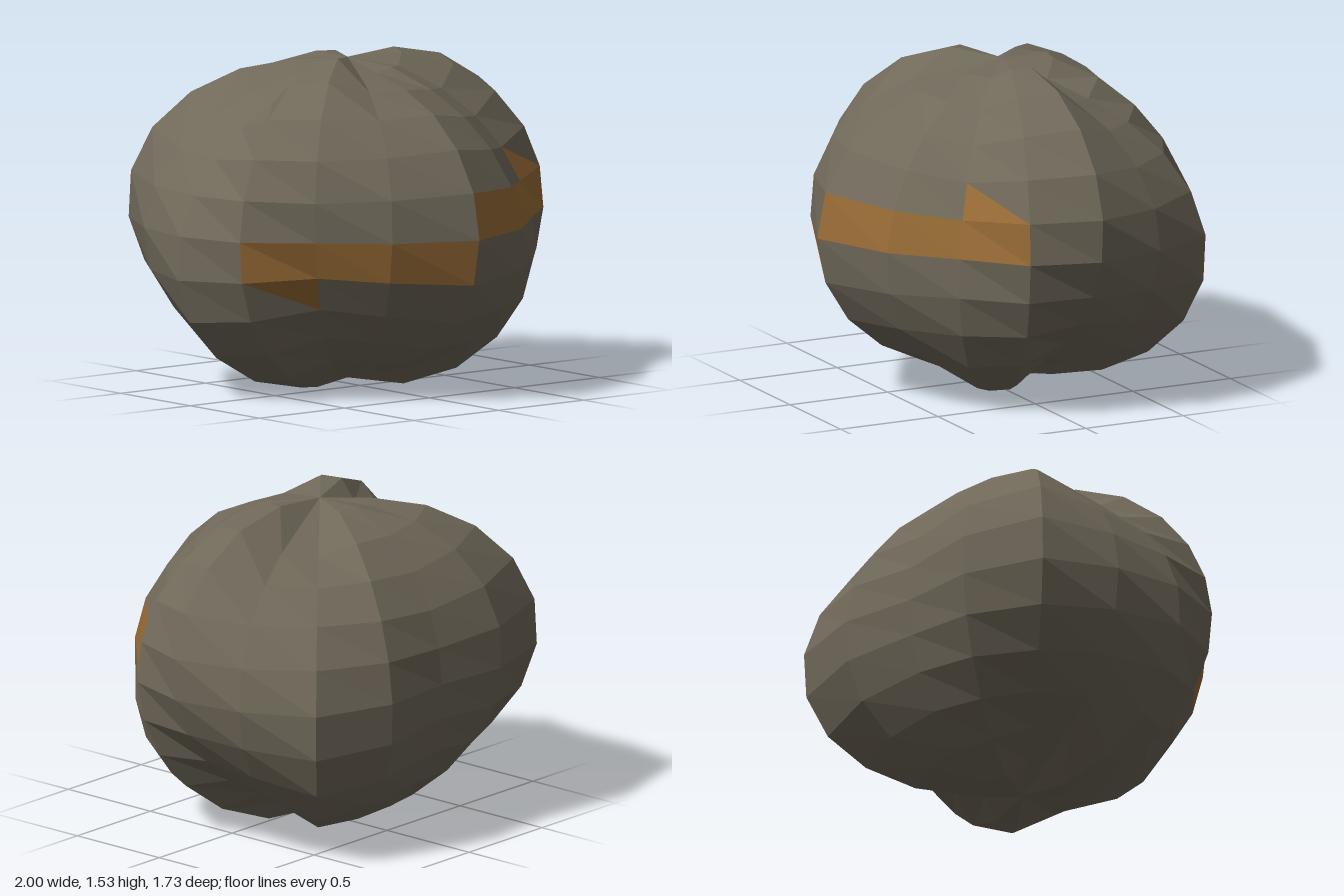
import * as THREE from 'three';

const COLUMNS = 16, ROWS = 12;

// Lumpy radius: three-lobed and five-lobed waves twisting opposite ways with latitude.
function lumpRadius(theta, lat) {
  const fade = Math.min(1, 3 * Math.cos(lat)); // lobes die out at the poles
  const wave = 0.07 * Math.cos(3 * theta + 2 * lat) + 0.05 * Math.cos(5 * theta - lat);
  return 0.985 + fade * wave;
}

// Low-poly sphere pushed in and out by the lump rule, then squashed.
function lumpySphere() {
  const geo = new THREE.SphereGeometry(1, COLUMNS, ROWS);
  const pos = geo.attributes.position;
  const v = new THREE.Vector3();
  for (let i = 0; i < pos.count; i++) {
    v.fromBufferAttribute(pos, i);
    const r = lumpRadius(Math.atan2(v.x, v.z), Math.asin(THREE.MathUtils.clamp(v.y, -1, 1)));
    pos.setXYZ(i, v.x * r, 0.77 + 0.75 * v.y * r, -0.09 + 0.86 * v.z * r);
  }
  return geo;
}

// Triangle number of one half of a grid cell (the cap row has one triangle per column).
const triangle = (row, column, half) => COLUMNS + 2 * COLUMNS * (row - 1) + 2 * column + half;

// Faceted mesh made of the chosen triangles of a geometry.
function facets(source, keep, material, name) {
  const geo = source.clone();
  geo.setIndex(Array.from(source.index.array).filter((_, i) => keep(Math.floor(i / 3))));
  const flat = geo.toNonIndexed();
  flat.computeVertexNormals();
  const mesh = new THREE.Mesh(flat, material);
  mesh.name = name;
  return mesh;
}

export function createModel() {
  const stone = new THREE.MeshStandardMaterial({ color: 0x70695a });
  stone.name = 'stone';
  const ochre = new THREE.MeshStandardMaterial({ color: 0x966a35 });
  ochre.name = 'ochre';

  // Ochre bands: three cells each side of the front, with a pointed tip at the outer end.
  const leftBand = new Set([triangle(4, 6, 1)]);
  const rightBand = new Set([triangle(7, 1, 0)]);
  for (let i = 0; i < 3; i++) {
    for (const half of [0, 1]) {
      leftBand.add(triangle(5, 4 + i, half));
      rightBand.add(triangle(6, 1 + i, half));
    }
  }

  const rock = lumpySphere();
  const group = new THREE.Group();
  group.name = 'rock';
  group.add(
    facets(rock, (t) => !leftBand.has(t) && !rightBand.has(t), stone, 'rockBody'),
    facets(rock, (t) => leftBand.has(t), ochre, 'leftBand'),
    facets(rock, (t) => rightBand.has(t), ochre, 'rightBand')
  );
  return group;
}
